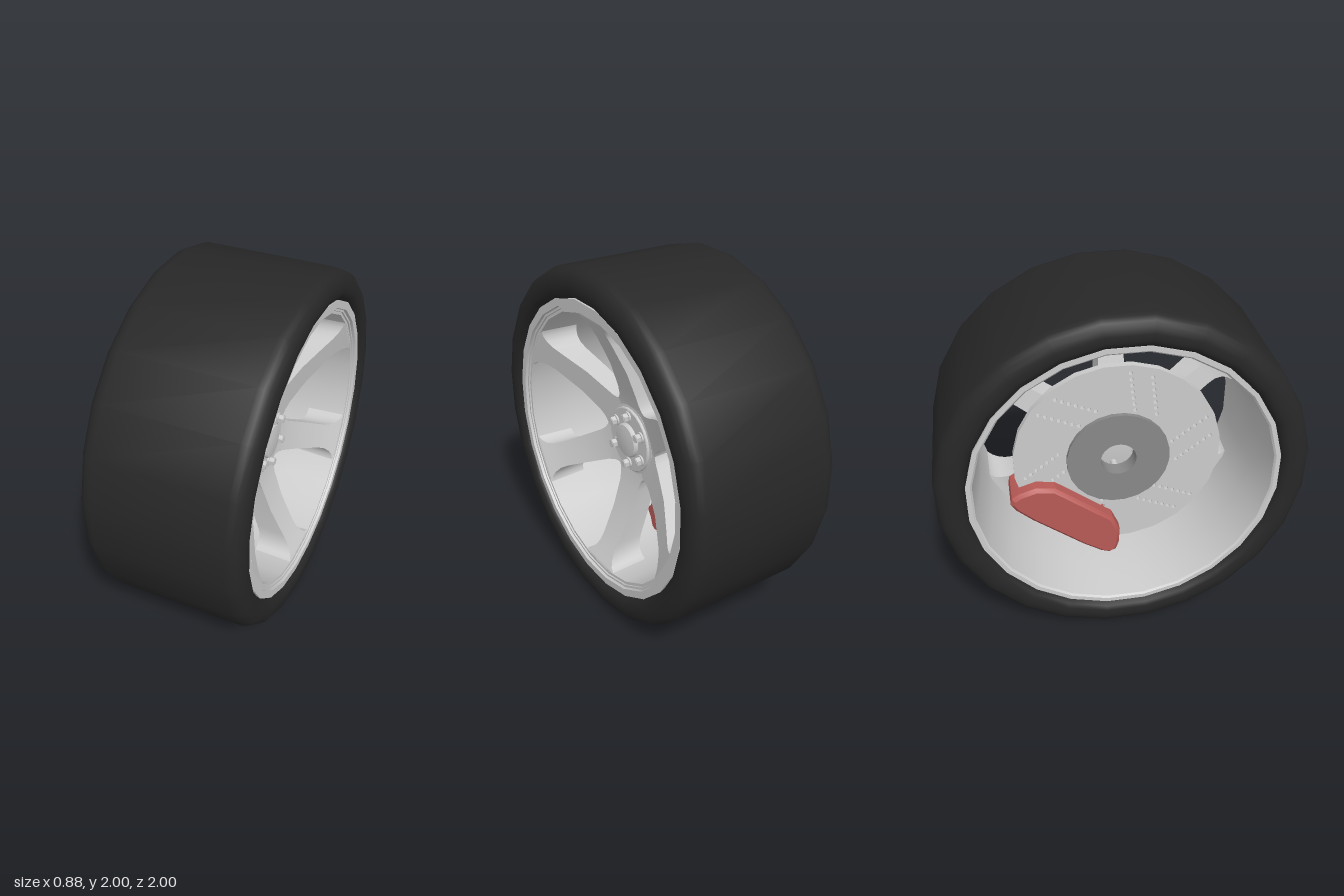
import * as THREE from 'three';
import { toCreasedNormals } from 'three/addons/utils/BufferGeometryUtils.js';

const SIDES = 24;
const mat = (color) => new THREE.MeshStandardMaterial({ color });
const grey = mat(0xcccccc), darkGrey = mat(0x888888), rubber = mat(0x272727), red = mat(0xb85a56);

// Parts are built with the axle along +z (outer face), then turned so that it lies along +x.
export function createModel() {
  const wheel = new THREE.Group();
  wheel.name = 'wheel';

  const add = (name, geometry, material, parent = wheel) => {
    const mesh = new THREE.Mesh(geometry, material);
    mesh.name = name;
    parent.add(mesh);
    return mesh;
  };

  // Turned part from (radius, z) points; outer side runs towards +z
  const turned = (points, crease = 0.5) => {
    const profile = points.map(([r, z]) => new THREE.Vector2(r, z));
    const g = new THREE.LatheGeometry(profile, SIDES, Math.PI / SIDES).rotateX(Math.PI / 2);
    return toCreasedNormals(g, crease);
  };

  // Tyre: flat tread with rounded shoulders
  const half = [[0.843, 0.385], [0.85, 0.41], [0.865, 0.43], [0.89, 0.44], [0.925, 0.44], [0.96, 0.432],
    [0.985, 0.415], [1.002, 0.39], [1.0086, 0.36]];
  const tyre = [...half.map(([r, z]) => [r, -z]), ...[...half].reverse(), [0.843, -0.385]];
  add('tyre', turned(tyre, 0.8), rubber);

  // Rim: barrel with a stepped outer lip
  add('rim', turned([[0.845, -0.41], [0.83, -0.36], [0.83, 0.36], [0.845, 0.415], [0.802, 0.415],
    [0.798, 0.4], [0.786, 0.4], [0.784, 0.392], [0.768, 0.392], [0.765, 0.1], [0.775, -0.15],
    [0.81, -0.4], [0.82, -0.41], [0.845, -0.41]], 0.4), grey);

  // Spoke: loft of sections [distance from axle, half width, front z, back z]
  const sections = [[0.1, 0.06, 0.15, 0.03], [0.2, 0.13, 0.158, 0.035], [0.22, 0.112, 0.162, 0.04],
    [0.25, 0.098, 0.168, 0.045], [0.3, 0.09, 0.18, 0.055], [0.45, 0.083, 0.23, 0.09],
    [0.62, 0.075, 0.31, 0.14], [0.67, 0.079, 0.338, 0.155], [0.71, 0.095, 0.362, 0.16],
    [0.735, 0.118, 0.378, 0.16], [0.748, 0.145, 0.386, 0.16], [0.755, 0.2, 0.391, 0.16],
    [0.77, 0.21, 0.391, 0.16]];
  const positions = [], index = [];
  sections.forEach(([r, w, f, b], k) => {
    [[-w, f], [w, f], [w - 0.01, b], [-w + 0.01, b]].forEach(([x, z], i) => {
      positions.push(x, r, z);
      if (k === sections.length - 1) return;
      const a = k * 4 + i, d = k * 4 + (i + 1) % 4;
      index.push(a, d, d + 4, a, d + 4, a + 4);
    });
  });
  const loft = new THREE.BufferGeometry();
  loft.setAttribute('position', new THREE.Float32BufferAttribute(positions, 3));
  loft.setIndex(index);
  const spokeGeometry = toCreasedNormals(loft, 0.7);

  // Hub with a low ring and domed cap
  add('hub', turned([[0, 0], [0.2, 0.03], [0.205, 0.158], [0.19, 0.16], [0.19, 0.172], [0.185, 0.175],
    [0, 0.175]]), grey);
  add('hubCap', turned([[0.1, 0.16], [0.1, 0.19], [0.093, 0.199], [0.06, 0.204], [0, 0.207]], 0.6), grey);

  // Six spokes, each with a lug nut and stud
  const rod = (radius, length, sides) =>
    toCreasedNormals(new THREE.CylinderGeometry(radius, radius, length, sides).rotateX(Math.PI / 2), 0.5);
  const nutGeometry = rod(0.025, 0.03, 6), washerGeometry = rod(0.032, 0.012, 16), studGeometry = rod(0.019, 0.32, 16);
  for (let i = 0; i < 6; i++) {
    const arm = new THREE.Group();
    arm.name = 'spokeArm';
    arm.rotation.z = (i * Math.PI) / 3;
    wheel.add(arm);
    add('spoke', spokeGeometry, grey, arm);
    add('lugWasher', washerGeometry, grey, arm).position.set(0, 0.145, 0.179);
    add('lugNut', nutGeometry, grey, arm).position.set(0, 0.145, 0.197);
    add('stud', studGeometry, grey, arm).position.set(0, 0.145, 0.055);
  }

  // Brake disc with pairs of parallel, slanted rows of drilled holes
  const disc = new THREE.Shape();
  for (let i = 0; i < SIDES; i++) {
    const a = ((i + 0.5) * 2 * Math.PI) / SIDES;
    disc[i ? 'lineTo' : 'moveTo'](0.584 * Math.cos(a), 0.584 * Math.sin(a));
  }
  disc.closePath();
  disc.holes.push(new THREE.Path().absarc(0, 0, 0.2, 0, Math.PI * 2, true));
  const origin = new THREE.Vector2();
  for (let i = 0; i < 6; i++) {
    for (const [dx, dy] of [[0, 0], [-0.027, -0.123]]) {
      for (let k = 0; k < 7; k++) {
        const p = new THREE.Vector2(0.333 + dx + (0.188 * k) / 6, 0.053 + dy - (0.139 * k) / 6);
        p.rotateAround(origin, (i * Math.PI) / 3);
        disc.holes.push(new THREE.Path().absarc(p.x, p.y, 0.012, 0, Math.PI * 2, true));
      }
    }
  }
  const discGeometry = new THREE.ExtrudeGeometry(disc, { depth: 0.04, bevelEnabled: false, curveSegments: 4 });
  add('brakeDisc', toCreasedNormals(discGeometry, 0.5), grey).position.z = -0.13;

  // Disc bell with a centre bore
  add('discBell', turned([[0.1, -0.155], [0.29, -0.155], [0.29, -0.065], [0.1, -0.065], [0.1, -0.155]]), darkGrey);

  // Caliper: block straddling the lower rear of the disc, with a raised rib
  const caliper = new THREE.Group();
  caliper.name = 'caliper';
  caliper.rotation.z = THREE.MathUtils.degToRad(-142);
  wheel.add(caliper);
  const outline = [[-0.2, 0.335], [0.2, 0.335], [0.29, 0.385], [0.345, 0.465], [0.36, 0.51], [0.345, 0.54],
    [0.3, 0.555], [0.18, 0.565]];
  const mirrored = [...outline].reverse().map(([x, y]) => [-x, y]);
  const block = new THREE.Shape([...outline, ...mirrored.slice(0, -1)].map(([x, y]) => new THREE.Vector2(x, y)));
  const caliperGeometry = new THREE.ExtrudeGeometry(block, {
    depth: 0.21, bevelThickness: 0.02, bevelSize: 0.02, bevelOffset: -0.01, bevelSegments: 1,
  });
  add('caliperBody', toCreasedNormals(caliperGeometry, 0.5), red, caliper).position.z = -0.19;
  add('caliperRib', new THREE.BoxGeometry(0.58, 0.09, 0.03), red, caliper).position.set(0, 0.435, 0.045);

  wheel.rotation.y = Math.PI / 2;
  wheel.position.y = 1;
  const model = new THREE.Group();
  model.name = 'wheelAssembly';
  model.add(wheel);
  return model;
}
